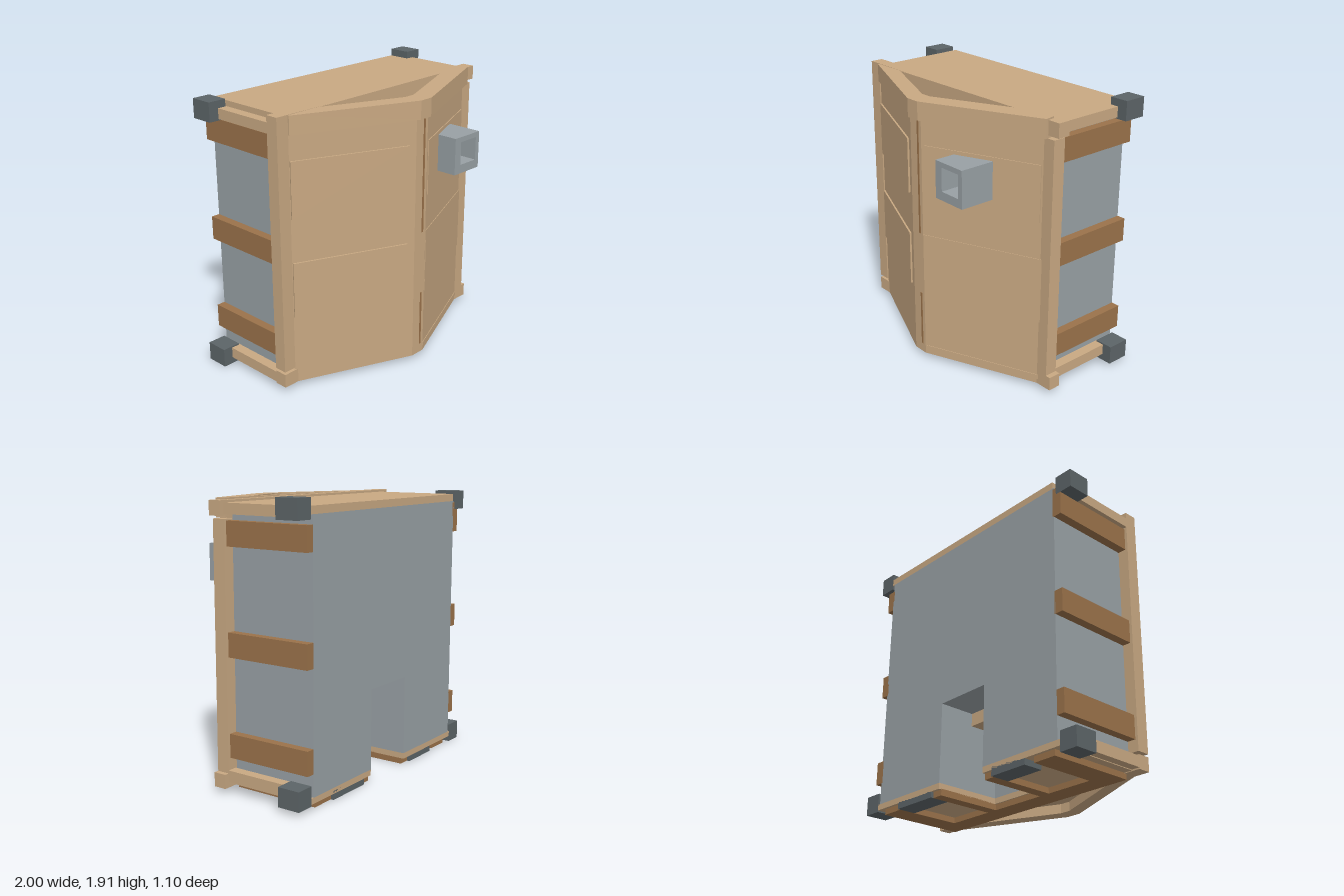
import * as THREE from 'three';

const mat = (color) => new THREE.MeshStandardMaterial({ color, flatShading: true });

export function createModel() {
  const model = new THREE.Group();
  const wood = mat(0xc8a882), brown = mat(0x9a724a), grey = mat(0x98a0a4), dark = mat(0x5c6467);

  const add = (name, geo, material) => {
    const mesh = new THREE.Mesh(geo, material);
    mesh.name = name;
    model.add(mesh);
    return mesh;
  };
  // Box given by its limits on each axis
  const box = (name, material, x0, x1, y0, y1, z0, z1) => {
    const geo = new THREE.BoxGeometry(x1 - x0, y1 - y0, z1 - z0);
    geo.translate((x0 + x1) / 2, (y0 + y1) / 2, (z0 + z1) / 2);
    return add(name, geo, material);
  };
  const outline = (pts) => pts.map(([x, y]) => new THREE.Vector2(x, y));
  const extrude = (pts, depth, hole) => {
    const shape = new THREE.Shape(outline(pts));
    if (hole) shape.holes.push(new THREE.Path(outline(hole)));
    return new THREE.ExtrudeGeometry(shape, { depth, bevelEnabled: false });
  };
  // Plan outline (x, z) raised from y0 to y1
  const slab = (pts, y0, y1, hole) =>
    extrude(pts, y1 - y0, hole).rotateX(Math.PI / 2).translate(0, y1, 0);

  // Cabin with a doorway recess in the back
  const cabin = extrude([[-0.85, 0.08], [-0.21, 0.08], [-0.21, 0.63], [0.21, 0.63],
    [0.21, 0.08], [0.85, 0.08], [0.85, 1.81], [-0.85, 1.81]], 0.48);
  add('cabinWalls', cabin.translate(0, 0, -0.55), grey);
  box('cabinFrontWall', grey, -0.85, 0.85, 0.08, 1.81, -0.07, 0.07);
  box('recessBeam', wood, -0.21, 0.21, 0.54, 0.63, -0.29, -0.07);
  box('roof', wood, -0.84, 0.87, 1.81, 1.86, -0.55, 0.07);
  box('roofEdge', brown, -0.87, -0.84, 1.75, 1.8, -0.55, 0.07);

  // Floor with the doorway notch
  add('floor', slab([[-0.87, -0.55], [-0.21, -0.55], [-0.21, -0.07], [0.21, -0.07],
    [0.21, -0.55], [0.87, -0.55], [0.87, 0.07], [-0.87, 0.07]], 0.04, 0.08), wood);

  // Skids and feet
  box('frontSkid', brown, -0.81, 0.81, 0, 0.045, -0.06, 0.09);
  for (const s of [-1, 1]) {
    for (const [a, b] of [[0.21, 0.29], [0.64, 0.81]]) {
      const [x0, x1] = s > 0 ? [a, b] : [-b, -a];
      box('sideSkid', brown, x0, x1, 0, 0.045, -0.53, -0.06);
    }
  }
  box('rightFoot', dark, -0.58, -0.29, 0, 0.06, -0.55, -0.41);
  box('leftFoot', dark, 0.29, 0.64, 0, 0.06, -0.55, -0.41);

  // Side rails, edge beams and corner blocks
  for (const s of [-1, 1]) {
    const lift = s > 0 ? 0.03 : 0;
    const side = (name, m, a, b, ...rest) =>
      box(name, m, s > 0 ? a : -b, s > 0 ? b : -a, ...rest);
    for (const y of [0.23, 0.89, 1.59]) side('sideRail', brown, 0.84, 0.91, y, y + 0.16, -0.55, 0.07);
    side('topSideBeam', wood, 0.86, 0.93, 1.76 + lift, 1.83 + lift, -0.45, 0.08);
    side('bottomSideBeam', wood, 0.86, 0.93, 0.045 + lift, 0.12 + lift, -0.45, 0.08);
    side('lowerCorner', dark, 0.87, 1, lift, 0.13 + lift, -0.55, -0.39);
    side('upperCorner', dark, 0.87, 1, 1.75 + lift, 1.88 + lift, -0.55, -0.39);
  }

  // Front frame
  box('rightPost', wood, -0.93, -0.84, 0.15, 1.87, 0.07, 0.16);
  box('leftPost', wood, 0.84, 0.93, 0.04, 1.76, 0.07, 0.16);
  box('frameHeader', wood, -0.93, 0.965, 1.78, 1.875, 0.07, 0.16);
  box('frameSill', wood, -0.93, 0.965, 0.035, 0.13, 0.07, 0.16);

  // Wedge-shaped front with open rims above and below
  const wedge = [[-0.84, 0.15], [0.87, 0.15], [0.07, 0.49], [-0.04, 0.49]];
  const opening = [[-0.58, 0.165], [-0.04, 0.39], [0.04, 0.39], [0.58, 0.165]];
  add('wedgeFront', slab(wedge, 0.1, 1.76), wood);
  add('lowerRim', slab(wedge, 0.035, 0.1, opening), wood);
  const lid = slab([[-0.84, 0.14], [0.87, 0.11], [0.88, 0.18], [0.07, 0.515], [-0.03, 0.515],
    [-0.84, 0.17]], 1.75, 1.875, opening);
  // The lid sits slightly askew
  const p = lid.attributes.position;
  for (let i = 0; i < p.count; i++) {
    p.setY(i, p.getY(i) + 0.008 * p.getX(i) - 0.02 * (p.getZ(i) - 0.35));
  }
  add('lidRim', lid, wood);

  // Raised panels on the slanted faces
  const angle = Math.atan2(0.34, 0.8);
  const panel = (name, x0, x1, y0, y1, t) => {
    const x = (x0 + x1) / 2, s = Math.sign(x);
    const z = 0.49 - 0.425 * (s > 0 ? x - 0.07 : -0.04 - x);
    const geo = new THREE.BoxGeometry((x1 - x0) / Math.cos(angle), y1 - y0, t * 2);
    const mesh = add(name, geo, wood);
    mesh.position.set(x, (y0 + y1) / 2, z);
    mesh.rotation.y = s * angle;
  };
  panel('upperRightPanel', -0.83, -0.085, 1.2, 1.58, 0.012);
  panel('lowerRightPanel', -0.83, -0.09, 0.52, 0.9, 0.012);
  panel('upperLeftPanel', 0.085, 0.835, 1.2, 1.58, 0.006);
  panel('lowerLeftPanel', 0.075, 0.865, 0.5, 0.95, 0.004);
  panel('bottomStrip', 0.075, 0.865, 0.07, 0.1, 0.004);

  // Seam between the two doors
  box('doorSeam', brown, 0.03, 0.045, 0.95, 1.75, 0.47, 0.493);
  box('doorSeam', brown, 0.03, 0.045, 0.1, 0.5, 0.47, 0.493);

  // Square window tube
  const rect = (a, b, c, d) => [[a, c], [b, c], [b, d], [a, d]];
  const tube = extrude(rect(0.29, 0.545, 1.3, 1.555), 0.25, rect(0.35, 0.51, 1.36, 1.52));
  add('windowTube', tube.translate(0, 0, 0.3), grey);

  return model;
}
